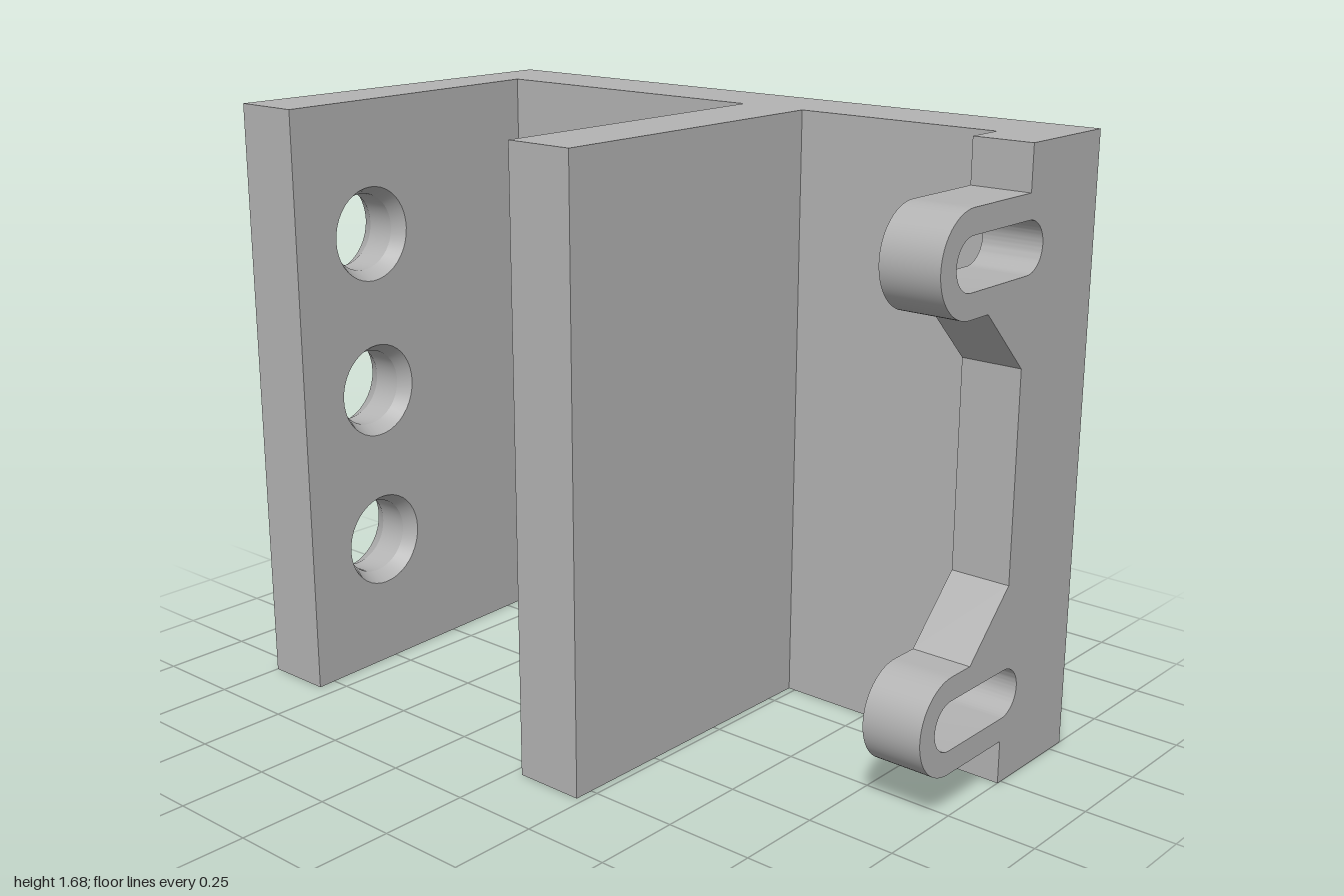
import * as THREE from 'three';
import { toCreasedNormals } from 'three/addons/utils/BufferGeometryUtils.js';

const H = 1.68, HALF = 0.555, WALL = 0.345;
const HOLE_X = -0.275, HOLE_YS = [0.38, 0.84, 1.3], HOLE_R = 0.135, BORE_R = 0.11;

// inner face of the back plate, which grows thicker towards its free edge
const innerZ = (x) => -0.802 - 0.043 * (x + HALF) / (WALL + HALF);

function polygon(points) {
  return new THREE.Shape(points.map(([x, y]) => new THREE.Vector2(x, y)));
}

function extrude(shape, depth) {
  return new THREE.ExtrudeGeometry(shape, { depth, bevelEnabled: false, curveSegments: 20 });
}

function finish(geometry) {
  return toCreasedNormals(geometry, 0.45);
}

export function createModel() {
  const group = new THREE.Group();
  const grey = new THREE.MeshStandardMaterial({ color: 0xb3b3b3 });
  grey.name = 'grey';
  const add = (name, geometry) => {
    const mesh = new THREE.Mesh(geometry, grey);
    mesh.name = name;
    group.add(mesh);
    return mesh;
  };

  // side wall with the middle plate, one T-shaped profile drawn as (x, -z)
  const body = extrude(polygon([
    [HALF, -1], [HALF, 1], [WALL, 1], [WALL, -0.03], [-HALF, -0.03],
    [-HALF, -0.23], [WALL, -0.23], [WALL, -1],
  ]), H);
  body.rotateX(-Math.PI / 2);
  add('wallAndMiddlePlate', finish(body));

  // tapered back plate with three holes
  const backShape = polygon([[-HALF, 0], [WALL, 0], [WALL, H], [-HALF, H]]);
  for (const y of HOLE_YS) {
    backShape.holes.push(new THREE.Path().absarc(HOLE_X, y, HOLE_R, 0, Math.PI * 2, true));
  }
  const back = extrude(backShape, 1);
  const bp = back.attributes.position;
  for (let i = 0; i < bp.count; i++) {
    bp.setZ(i, bp.getZ(i) > 0.5 ? innerZ(bp.getX(i)) : -1);
  }
  add('backPlate', finish(back));

  // chamfered bores, their front rim following the sloped face
  const profile = [[HOLE_R, -0.814], [BORE_R, -0.86], [BORE_R, -0.95], [HOLE_R, -1]]
    .map(([r, z]) => new THREE.Vector2(r, z));
  for (const y of HOLE_YS) {
    const bore = new THREE.LatheGeometry(profile, 40);
    bore.rotateX(Math.PI / 2);
    bore.translate(HOLE_X, y, 0);
    const p = bore.attributes.position;
    for (let i = 0; i < p.count; i++) {
      if (p.getZ(i) > -0.83) p.setZ(i, innerZ(p.getX(i)));
    }
    add('holeBore', finish(bore));
  }

  // front flange with two slotted ears
  const earX = -0.013, earR = 0.134, slotR = 0.068, slotEnd = 0.235;
  const low = 0.254, high = H - low;
  const flange = new THREE.Shape();
  flange.moveTo(WALL, 0);
  flange.lineTo(WALL, H);
  flange.lineTo(slotEnd, H);
  flange.lineTo(slotEnd, high + earR);
  flange.absarc(earX, high, earR, Math.PI / 2, Math.PI * 1.5, false);
  flange.lineTo(0.067, high - earR);
  flange.lineTo(slotEnd, H - 0.555);
  flange.lineTo(slotEnd, 0.555);
  flange.lineTo(0.067, low + earR);
  flange.absarc(earX, low, earR, Math.PI / 2, Math.PI * 1.5, false);
  flange.lineTo(slotEnd, low - earR);
  flange.lineTo(slotEnd, 0);
  for (const y of [low, high]) {
    const slot = new THREE.Path();
    slot.absarc(earX, y, slotR, Math.PI / 2, Math.PI * 1.5, false);
    slot.absarc(slotEnd, y, slotR, -Math.PI / 2, Math.PI / 2, false);
    slot.closePath();
    flange.holes.push(slot);
  }
  const front = extrude(flange, 0.17);
  front.translate(0, 0, 0.83);
  add('frontFlange', finish(front));

  return group;
}
